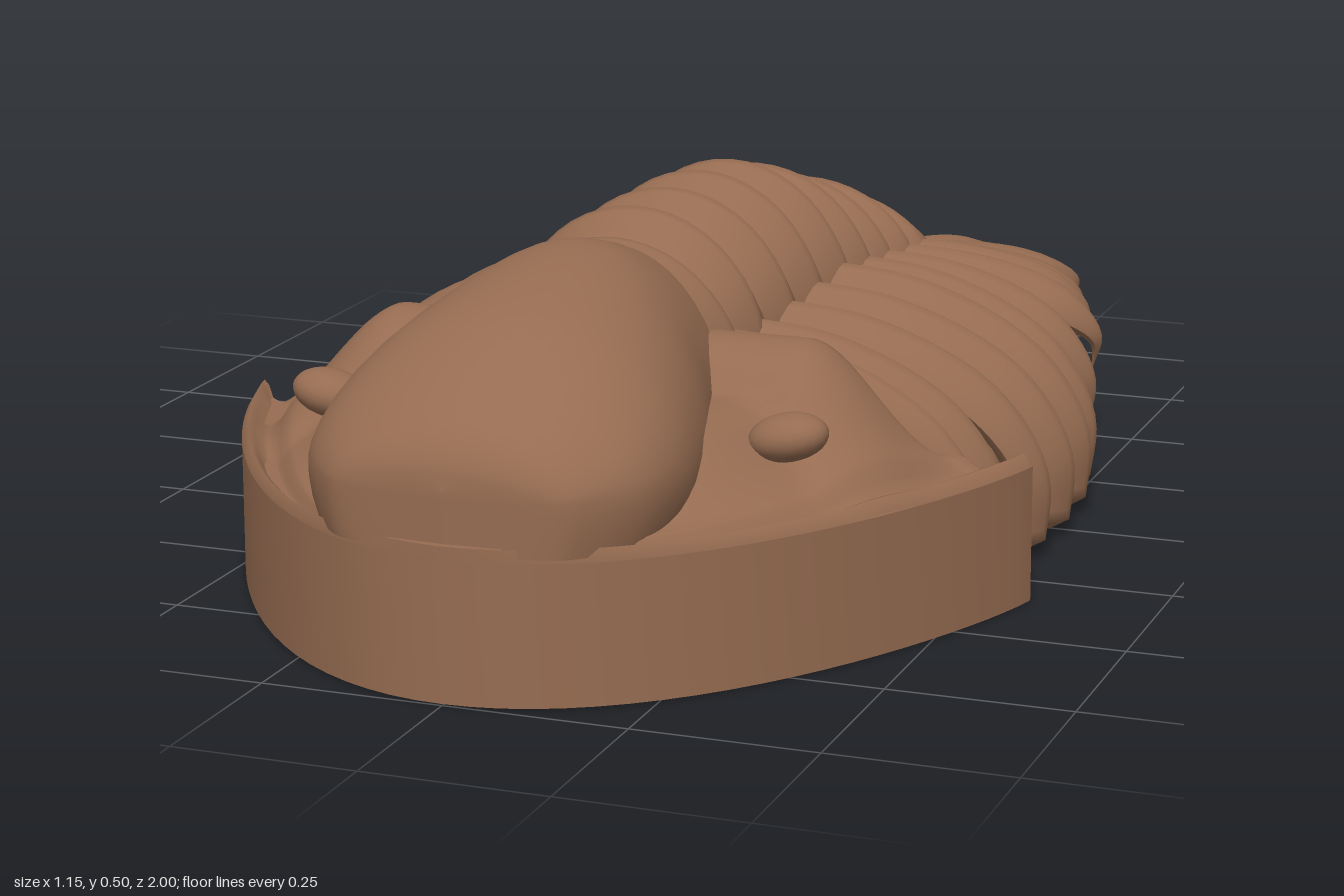
import * as THREE from 'three';
import { ParametricGeometry } from 'three/addons/geometries/ParametricGeometry.js';
import { toCreasedNormals } from 'three/addons/utils/BufferGeometryUtils.js';

const V = (x, y, z) => new THREE.Vector3(x, y, z);
const lerp = THREE.MathUtils.lerp;
const step = (a, b, x) => THREE.MathUtils.smoothstep(x, a, b);
const signedPow = (x, p) => Math.sign(x) * Math.abs(x) ** p;

export function createModel() {
  const shellMat = new THREE.MeshStandardMaterial({ color: 0x966c51, side: THREE.DoubleSide });
  shellMat.name = 'brown shell';
  const baseMat = new THREE.MeshStandardMaterial({ color: 0x260909, side: THREE.DoubleSide });
  baseMat.name = 'dark underside';

  const model = new THREE.Group();
  model.name = 'trilobite';

  const add = (name, geometry, material = shellMat) => {
    const mesh = new THREE.Mesh(geometry, material);
    mesh.name = name;
    model.add(mesh);
    return mesh;
  };
  const surface = (name, f, nu, nv) => {
    const g = new ParametricGeometry(f, nu, nv);
    g.computeVertexNormals();
    return add(name, g);
  };
  // Arched loft along z; each station is [z, half width, crest height]
  const dome = (name, stations, { foot, power = 1, skirt = 0.35, tension = 0.5, nu = 20 }) => {
    const path = new THREE.CatmullRomCurve3(stations.map((s) => V(...s)), false, 'catmullrom', tension);
    return surface(name, (u, v, out) => {
      const p = path.getPoint(u);
      const a = lerp(-skirt, Math.PI + skirt, v);
      const s = Math.sin(a);
      const y = s > 0 ? foot + (p.z - foot) * s ** power : foot + 0.2 * s;
      out.set(-p.y * Math.cos(a), y, p.x);
    }, nu, 28);
  };
  // Upright slab from a plan outline of [x, z] points
  const slab = (name, outline, y0, y1, material) => {
    const shape = new THREE.Shape(outline.map(([x, z]) => new THREE.Vector2(x, -z)));
    const g = new THREE.ExtrudeGeometry(shape, { depth: y1 - y0, bevelEnabled: false });
    g.rotateX(-Math.PI / 2).translate(0, y0, 0);
    return add(name, toCreasedNormals(g, 0.6), material);
  };

  // Plan of the head shield: half width and z at angle a
  const headX = (a) => 0.575 * Math.cos(a);
  const headZ = (a) => 0.34 + 0.66 * Math.max(0, Math.sin(a)) ** 1.667;
  const arc = [];
  for (let i = 0; i <= 48; i++) arc.push([headX((i / 48) * Math.PI), headZ((i / 48) * Math.PI)]);

  // Half width of the body behind the head
  const bodyW = (z) => 0.5 * Math.sqrt(Math.max(0, 1 - ((z - 0.3) / 1.16) ** 2));

  // Dark underside plate, inset under the ribs
  const floor = arc.filter(([, z]) => z > 0.4).map(([x, z]) => [x * 0.98, z * 0.995]);
  const rear = [];
  for (let i = 0; i <= 24; i++) {
    const k = Math.sin((i / 24) * Math.PI / 2);
    const z = lerp(0.36, -0.82, k);
    rear.push([bodyW(z) * lerp(0.95, 0.8, k * k) * Math.sqrt(1 - k ** 14), z]);
  }
  slab('underside', [...floor, ...rear.map(([x, z]) => [-x, z]), ...rear.slice(0, -1).reverse()], 0, 0.12, baseMat);

  // Head wall with swept-back corners
  slab('headWall', [...arc, [-0.52, 0.385], [-0.4, 0.37], [0.4, 0.37], [0.52, 0.385]], 0.002, 0.19);

  // Cheeks: raised border, shallow groove, then a rise into the swollen lobes behind the eyes
  surface('cheeks', (u, v, out) => {
    const a = u * Math.PI / 2;
    const side = 2 * v - 1;
    const d = 1 - Math.abs(side);
    const z = headZ(a);
    const x = headX(a) * side;
    const rimDip = 0.02 * step(0.03, 0.07, d) * (1 - step(0.1, 0.16, d));
    const cheek = 0.1 * step(0.1, 0.55, d) * (1 - step(0.68, 0.9, z));
    const lobe = 0.16 * (1 - step(0.29, 0.49, Math.abs(x))) * (1 - step(0.46, 0.69, z));
    const rise = Math.max(cheek, lobe) * step(0.34, 0.44, z);
    const back = z + 0.04 * (1 - step(0.34, 0.42, z)) * step(0, 0.1, d);
    out.set(x, 0.208 - 0.018 * (1 - step(0, 0.02, d)) - rimDip + rise, back);
  }, 56, 96);

  for (const s of [1, -1]) {
    const eye = add(s > 0 ? 'leftEye' : 'rightEye', new THREE.SphereGeometry(1, 20, 14));
    eye.scale.set(0.055, 0.032, 0.042);
    eye.position.set(s * 0.325, 0.28, 0.62);
    eye.rotation.z = s * 0.2;
  }

  // Central dome of the head
  dome('headDome', [
    [0.4, 0.17, 0.46], [0.47, 0.185, 0.485], [0.55, 0.2, 0.5], [0.66, 0.232, 0.487],
    [0.78, 0.25, 0.455], [0.88, 0.235, 0.405], [0.95, 0.185, 0.355], [0.98, 0.13, 0.315], [0.99, 0, 0.275],
  ], { foot: 0.265, power: 1.1, nu: 40 });
  dome('neckRing', [[0.36, 0.175, 0.43], [0.41, 0.19, 0.475], [0.47, 0.175, 0.46]],
    { foot: 0.28, tension: 0.2, nu: 10 });

  // Low body arch beneath the ribs
  const archStations = [-0.85, -0.8, -0.72, -0.6, -0.45, -0.25, 0, 0.2, 0.38].map((z) =>
    [z, bodyW(z) * 0.98, lerp(0.2, 0.28, step(-0.85, -0.2, z))]);
  dome('bodyArch', archStations, { foot: 0.11, power: 0.75, skirt: 0, nu: 40 });

  // Ridged rings of the raised middle: [z, half width, crest height]
  const rings = [
    [0.32, 0.188, 0.5], [0.19, 0.19, 0.5], [0.065, 0.19, 0.5], [-0.06, 0.19, 0.492], [-0.175, 0.188, 0.464],
    [-0.29, 0.184, 0.428], [-0.405, 0.18, 0.398], [-0.51, 0.17, 0.358], [-0.6, 0.14, 0.325],
  ];
  rings.forEach(([z, w, c], i) => {
    dome('axisRing' + (i + 1), [[z - 0.07, w * 0.9, c - 0.07], [z, w, c], [z + 0.07, w * 0.9, c - 0.055]],
      { foot: lerp(0.3, 0.23, i / 8), tension: 0.1, nu: 10 });
  });

  // Tapering tail
  dome('tailAxis', [
    [-0.9, 0.01, 0.17], [-0.87, 0.045, 0.195], [-0.82, 0.075, 0.24], [-0.75, 0.1, 0.27],
    [-0.68, 0.118, 0.29], [-0.58, 0.13, 0.3],
  ], { foot: 0.19, nu: 20 });

  // Ribs and tail spines: [root x, root z, tip x, tip z, tip y, half width, tip bluntness]
  const ribs = [
    [0.13, 0.375, 0.485, 0.345, 0.01, 0.035, 0.9],
    [0.13, 0.305, 0.495, 0.26, 0.01, 0.056, 0.75], [0.13, 0.19, 0.52, 0.14, 0.01, 0.058, 0.72],
    [0.13, 0.07, 0.525, 0.03, 0.01, 0.058, 0.7], [0.13, -0.055, 0.52, -0.085, 0.01, 0.058, 0.65],
    [0.13, -0.175, 0.5, -0.2, 0.01, 0.058, 0.55], [0.13, -0.29, 0.475, -0.335, 0.05, 0.06, 0.15],
    [0.12, -0.405, 0.45, -0.475, 0.11, 0.06, 0.03], [0.11, -0.51, 0.395, -0.605, 0.125, 0.058, 0.03],
    [0.09, -0.6, 0.355, -0.72, 0.13, 0.054, 0.03], [0.08, -0.66, 0.315, -0.85, 0.13, 0.052, 0.03],
    [0.07, -0.71, 0.23, -0.94, 0.125, 0.05, 0.03], [0.04, -0.79, 0.13, -1.0, 0.145, 0.048, 0.03],
  ];
  ribs.forEach(([rx, rz, tx, tz, ty, width, blunt], i) => {
    const rootY = i < 5 ? 0.315 : lerp(0.315, 0.185, (i - 4) / 8);
    const at = (k, fall, bow) =>
      V(lerp(rx, tx, k) + bow, lerp(rootY, ty, fall), lerp(rz, tz, k * k));
    const path = new THREE.CatmullRomCurve3(
      [at(0, 0, 0), at(0.4, 0.06, 0), at(0.78, 0.32, 0.01), at(0.96, 0.65, 0.008), at(1, 1, -0.01)]);
    const ref = V(0.7, 0.7, 0);
    for (const s of [1, -1]) {
      const name = (s > 0 ? 'left' : 'right') + (i < 9 ? 'Rib' : 'TailSpine') + (i + 1);
      surface(name, (u, v, out) => {
        const t = path.getTangent(v);
        const b = V().crossVectors(t, ref).normalize();
        const n = V().crossVectors(b, t);
        const a = -s * u * Math.PI * 2;
        const taper = lerp(1, blunt, step(0.3, 1, v)) * (v > 0.995 ? 0.1 : 1);
        // Diamond section gives a narrow crest along the top
        out.copy(path.getPoint(v))
          .addScaledVector(b, width * taper * signedPow(Math.cos(a), 1.5))
          .addScaledVector(n, (i < 9 ? 0.04 : 0.03) * taper * signedPow(Math.sin(a), 1.5));
        out.y = Math.max(out.y, 0.004);
        out.x *= s;
      }, 16, 24);
    }
  });
  return model;
}
